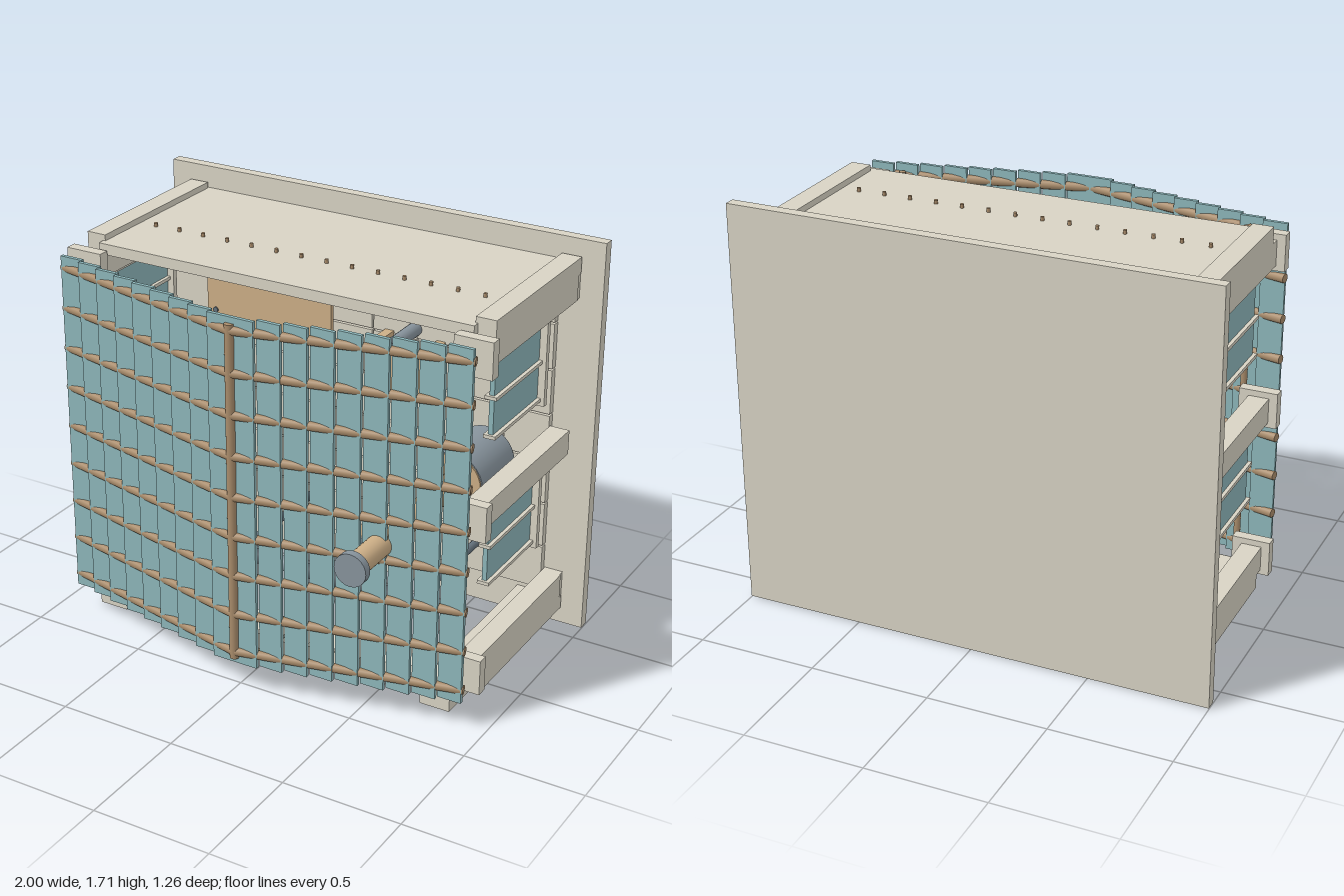
import * as THREE from 'three';

const mat = (name, color) => {
  const m = new THREE.MeshStandardMaterial({ color });
  m.name = name;
  return m;
};

export function createModel() {
  const model = new THREE.Group();
  model.name = 'gatehouse';
  const stone = mat('stone', 0xd8d3c4);
  const teal = mat('tealBoard', 0x8db6ba);
  const wood = mat('wood', 0xccae86);
  const rodWood = mat('rodWood', 0xa98c6b);
  const slate = mat('slateMetal', 0x87939c);
  const dark = mat('darkMetal', 0x64717b);

  const add = (name, geo, material) => {
    const m = new THREE.Mesh(geo, material);
    m.name = name;
    model.add(m);
    return m;
  };
  // Box given by its minimum and maximum on each axis
  const box = (name, material, x0, x1, y0, y1, z0, z1) => {
    const m = add(name, new THREE.BoxGeometry(x1 - x0, y1 - y0, z1 - z0), material);
    m.position.set((x0 + x1) / 2, (y0 + y1) / 2, (z0 + z1) / 2);
  };
  // The same box on both sides
  const pair = (name, material, x0, x1, ...rest) => {
    box(name, material, x0, x1, ...rest);
    box(name, material, -x1, -x0, ...rest);
  };
  // Cylinder between two points
  const rod = (name, material, a, b, r, sides = 16) => {
    const p = new THREE.Vector3(...a), q = new THREE.Vector3(...b);
    const d = q.clone().sub(p);
    const m = add(name, new THREE.CylinderGeometry(r, r, d.length(), sides), material);
    m.position.copy(p).add(q).multiplyScalar(0.5);
    m.quaternion.setFromUnitVectors(new THREE.Vector3(0, 1, 0), d.normalize());
  };
  const ball = (name, material, p, r) =>
    add(name, new THREE.SphereGeometry(r, 12, 8), material).position.set(...p);

  // Back plate with a thin tiled lining
  box('backPlate', stone, -1, 1, 0.01, 1.72, -0.63, -0.583);
  for (let i = 0; i < 8; i++) {
    for (let j = 0; j < 7; j++) {
      const x = -0.82 + i * 0.205, y = 0.16 + j * 0.2;
      box('wallTile', stone, x + 0.004, x + 0.201, y + 0.004, y + 0.196, -0.583, -0.553);
    }
  }

  // Roof slab, its edge beams and nails
  box('roofSlab', stone, -0.83, 0.83, 1.58, 1.625, -0.583, 0.2);
  pair('roofEdge', stone, 0.82, 0.905, 1.58, 1.65, -0.575, 0.17);
  for (let i = 0; i < 14; i++) {
    const x = -0.741 + i * 0.114;
    rod('roofNail', rodWood, [x, 1.61, -0.07], [x, 1.641, -0.07], 0.008, 8);
  }

  // Side beams with end blocks
  for (const y of [0.145, 0.81, 1.475]) {
    pair('sideBeam', stone, 0.82, 0.905, y, y + 0.105, -0.555, 0.22);
    pair('beamEndBlock', stone, 0.78, 0.94, y - 0.02, y + 0.13, 0.215, 0.262);
  }
  pair('beamTail', stone, 0.82, 0.9, 0.145, 0.25, -0.583, -0.555);
  pair('beamTail', stone, 0.82, 0.9, 1.475, 1.58, -0.583, -0.555);

  // Sills and feet
  pair('sill', stone, 0.82, 0.905, 0.085, 0.145, -0.575, 0.17);
  pair('floorRunner', stone, 0.7, 0.83, 0.03, 0.13, -0.583, 0.295);
  pair('backFoot', stone, 0.69, 0.85, 0.006, 0.085, -0.565, -0.485);

  // Arc of threshold stones
  for (let i = -6; i <= 6; i++) {
    const x = i * 0.115, front = 0.3 - 0.0045 * i * i;
    box('thresholdStone', stone, x - 0.055, x + 0.055, 0.03, 0.12 - (i & 1) * 0.008, front - 0.17, front);
  }

  // Spoked wheel under the threshold
  const rim = add('wheelRim', new THREE.TorusGeometry(0.142, 0.016, 10, 36), rodWood);
  rim.rotation.x = Math.PI / 2;
  rim.position.set(0, 0.037, 0.172);
  rod('wheelHub', rodWood, [0, 0.02, 0.172], [0, 0.045, 0.172], 0.03);
  for (let i = 0; i < 4; i++) {
    const c = 0.14 * Math.cos(i * Math.PI / 4), s = 0.14 * Math.sin(i * Math.PI / 4);
    rod('wheelSpoke', rodWood, [-c, 0.032, 0.172 - s], [c, 0.032, 0.172 + s], 0.009, 8);
  }

  // Side shutters in stone frames
  for (const y of [0.52, 1.145]) {
    pair('shutterPanel', teal, 0.85, 0.87, y, y + 0.325, -0.3, 0.09);
    for (const h of [0, 0.16, 0.32]) {
      pair('shutterRail', stone, 0.835, 0.885, y + h - 0.006, y + h + 0.008, -0.3, 0.102);
    }
    pair('shutterPost', stone, 0.82, 0.9, y - 0.025, y + 0.33, -0.322, -0.298);
  }

  // Gate: two leaves of stepped planks threaded on rods
  const zAt = x => 0.543 - 0.232 * Math.abs(x);
  for (const s of [-1, 1]) {
    for (let i = 0; i < 9; i++) {
      const x = s * (0.05 + i * 0.1007);
      box('gatePlank', teal, x - 0.0503, x + 0.0503, 0.125, 1.605, zAt(x) - 0.008, zAt(x) + 0.008);
    }
    for (let j = 0; j < 9; j++) {
      const y = 0.178 + j * 0.1719;
      rod('gateRod', rodWood, [0, y, zAt(0)], [s * 0.908, y, zAt(0.908)], 0.019, 12);
      ball('rodEnd', rodWood, [s * 0.76, y, 0.33], 0.018);
    }
    rod('hingePole', rodWood, [s * 0.76, 0.15, 0.33], [s * 0.76, 1.58, 0.33], 0.014, 12);
  }
  rod('gateCentrePole', rodWood, [0, 0.15, 0.543], [0, 1.58, 0.543], 0.019);

  // Ram through the gate, with a drum behind it
  rod('ramShaft', wood, [0.57, 0.75, -0.2], [0.57, 0.75, 0.6], 0.048, 24);
  rod('ramHead', slate, [0.57, 0.75, 0.6], [0.57, 0.75, 0.633], 0.068, 24);
  rod('drum', slate, [0.57, 0.75, -0.49], [0.57, 0.75, -0.2], 0.13, 28);
  rod('drumFace', wood, [0.57, 0.75, -0.2], [0.57, 0.75, -0.192], 0.125, 28);

  // Rail frame across the inside
  rod('crossRail', slate, [-0.67, 0.405, 0.185], [0.67, 0.405, 0.185], 0.031);
  for (const x of [-0.6, -0.2, 0.2, 0.6]) {
    rod('railArm', dark, [x, 0.405, -0.53], [x, 0.405, 0.16], 0.017, 12);
  }
  rod('railCollar', wood, [0.2, 0.405, -0.31], [0.2, 0.405, -0.222], 0.065, 20);

  // Hanging wooden board with bolts
  box('hangingBoard', wood, -0.65, -0.055, 1.15, 1.47, -0.32, -0.3);
  for (const x of [-0.61, -0.1]) {
    rod('boardBolt', dark, [x, 1.21, -0.325], [x, 1.21, -0.294], 0.012, 10);
    ball('boardKnob', slate, [x, 1.15, -0.332], 0.016);
    ball('boardKnob', dark, [x, 1.41, -0.325], 0.008);
  }

  // Wall peg above a small bracketed shelf front
  rod('wallPeg', slate, [0.2, 1.205, -0.553], [0.2, 1.205, -0.32], 0.03);
  box('shelfFront', wood, 0.05, 0.35, 0.94, 1.17, -0.455, -0.425);
  for (const x of [0.08, 0.32]) {
    for (const y of [0.965, 1.155]) {
      box('shelfBracket', wood, x - 0.02, x + 0.02, y, y + 0.02, -0.553, -0.455);
    }
  }
  return model;
}
